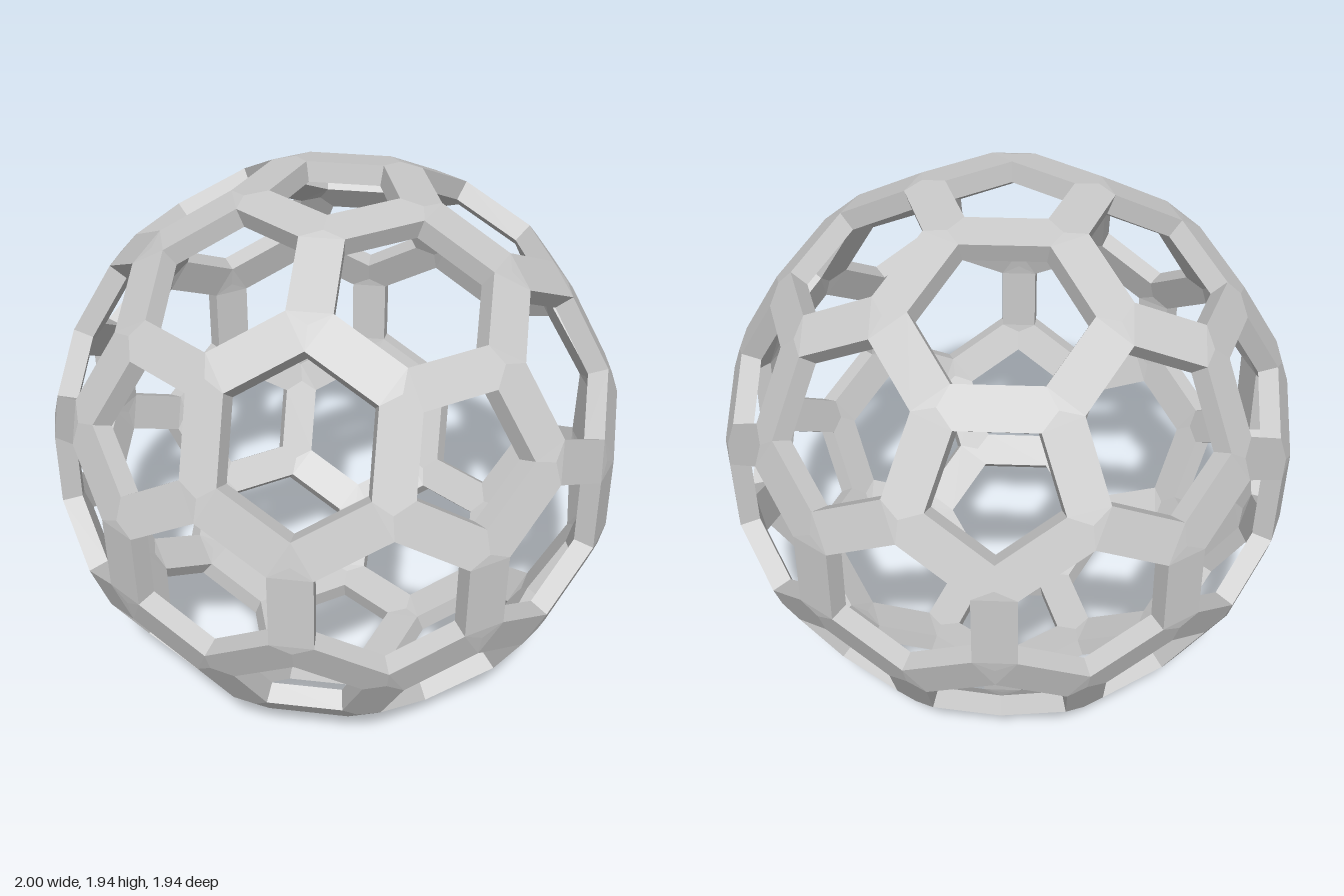
import * as THREE from 'three';

const CENTRE_Y = 0.976;
const RADIUS = 1.006;        // joint centres
const PENT_RIM = 0.995;      // rim radius of five-sided openings
const HEX_RIM = 1.008;       // rim radius of six-sided openings
const INNER = 0.93;          // inner skin relative to the outer skin
const PENT_ANGLE = THREE.MathUtils.degToRad(17.6);

const polar = (y, azimuth) => {
  const r = Math.sqrt(1 - y * y), a = THREE.MathUtils.degToRad(azimuth);
  return new THREE.Vector3(r * Math.cos(a), y, r * Math.sin(a));
};

// Collects flat triangles, each turned to face the given direction
class Skin {
  constructor() { this.positions = []; }
  tri(a, b, c, facing) {
    const n = b.clone().sub(a).cross(c.clone().sub(a));
    const order = n.dot(facing) < 0 ? [a, c, b] : [a, b, c];
    order.forEach(p => this.positions.push(p.x, p.y, p.z));
  }
  quad(a, b, c, d, facing) {
    this.tri(a, b, c, facing);
    this.tri(a, c, d, facing);
  }
  mesh(name) {
    const g = new THREE.BufferGeometry();
    g.setAttribute('position', new THREE.Float32BufferAttribute(this.positions, 3));
    g.computeVertexNormals();
    const m = new THREE.Mesh(g, new THREE.MeshStandardMaterial({ color: 0xcccccc, flatShading: true }));
    m.name = name;
    return m;
  }
}

// Openings of the cage: 12 pentagons and 30 hexagons as loops of shared joints
function buildFaces() {
  const axes = [new THREE.Vector3(0, 1, 0), new THREE.Vector3(0, -1, 0)];
  for (let k = 0; k < 5; k++) {
    axes.push(polar(1 / Math.sqrt(5), 36 + 72 * k), polar(-1 / Math.sqrt(5), 72 * k));
  }
  const near = (i, j) => i !== j && axes[i].dot(axes[j]) > 0.4;

  // Joints where three hexagons meet
  const corners = [];
  for (let i = 0; i < 12; i++) for (let j = i + 1; j < 12; j++) for (let k = j + 1; k < 12; k++) {
    if (near(i, j) && near(j, k) && near(i, k)) {
      const dir = axes[i].clone().add(axes[j]).add(axes[k]).normalize();
      corners.push({ of: [i, j, k], dir, point: dir.clone().multiplyScalar(RADIUS) });
    }
  }
  // Joints at the pentagon corners
  const pentJoint = axes.map((axis, i) => corners.map(c => {
    if (!c.of.includes(i)) return null;
    const side = c.dir.clone().addScaledVector(axis, -c.dir.dot(axis)).normalize();
    return axis.clone().multiplyScalar(Math.cos(PENT_ANGLE))
      .addScaledVector(side, Math.sin(PENT_ANGLE)).multiplyScalar(RADIUS);
  }));

  const faces = [];
  axes.forEach((axis, i) => {
    const loop = pentJoint[i].filter(Boolean);
    const u = loop[0].clone().cross(axis).normalize(), v = axis.clone().cross(u);
    loop.sort((a, b) => Math.atan2(a.dot(u), a.dot(v)) - Math.atan2(b.dot(u), b.dot(v)));
    faces.push({ loop, rim: PENT_RIM, inset: 0.28 });
    for (let j = i + 1; j < 12; j++) {
      if (!near(i, j)) continue;
      const [a, b] = corners.map((c, n) => n)
        .filter(n => corners[n].of.includes(i) && corners[n].of.includes(j));
      faces.push({
        loop: [corners[a].point, pentJoint[i][a], pentJoint[i][b],
          corners[b].point, pentJoint[j][b], pentJoint[j][a]],
        rim: HEX_RIM, inset: 0.24,
      });
    }
  });
  return faces;
}

export function createModel() {
  const struts = new Skin(), joints = new Skin(), rims = new Skin();
  const inner = p => p.clone().multiplyScalar(INNER);
  const ids = new Map(), edges = new Map();
  const id = p => {
    if (!ids.has(p)) ids.set(p, ids.size);
    return ids.get(p);
  };

  // Inner walls of every opening
  for (const { loop, rim, inset } of buildFaces()) {
    const centre = loop.reduce((s, p) => s.add(p), new THREE.Vector3()).divideScalar(loop.length);
    const hole = loop.map(p => p.clone().lerp(centre, inset).setLength(rim));
    loop.forEach((p, i) => {
      const j = (i + 1) % loop.length;
      const toCentre = centre.clone().sub(p.clone().add(loop[j]).multiplyScalar(0.5));
      rims.quad(hole[i], hole[j], inner(hole[j]), inner(hole[i]), toCentre);
      const ends = [[p, hole[i]], [loop[j], hole[j]]].sort((a, b) => id(a[0]) - id(b[0]));
      const key = ends.map(e => id(e[0])).join('-');
      if (!edges.has(key)) edges.set(key, []);
      edges.get(key).push(ends);
    });
  }

  // Each strut joins the rims of two neighbouring openings, with a wedge at each joint
  for (const [[[v1, a1], [v2, a2]], [[, b1], [, b2]]] of edges.values()) {
    const out = v1.clone().add(v2), back = out.clone().negate();
    struts.quad(a1, a2, b2, b1, out);
    struts.quad(inner(a1), inner(a2), inner(b2), inner(b1), back);
    for (const [v, a, b] of [[v1, a1, b1], [v2, a2, b2]]) {
      joints.tri(v, a, b, out);
      joints.tri(inner(v), inner(a), inner(b), back);
    }
  }

  const cage = new THREE.Group();
  cage.name = 'sphericalCage';
  cage.position.y = CENTRE_Y;
  cage.add(struts.mesh('struts'), joints.mesh('joints'), rims.mesh('openingWalls'));
  const model = new THREE.Group();
  model.name = 'latticeBall';
  model.add(cage);
  return model;
}
